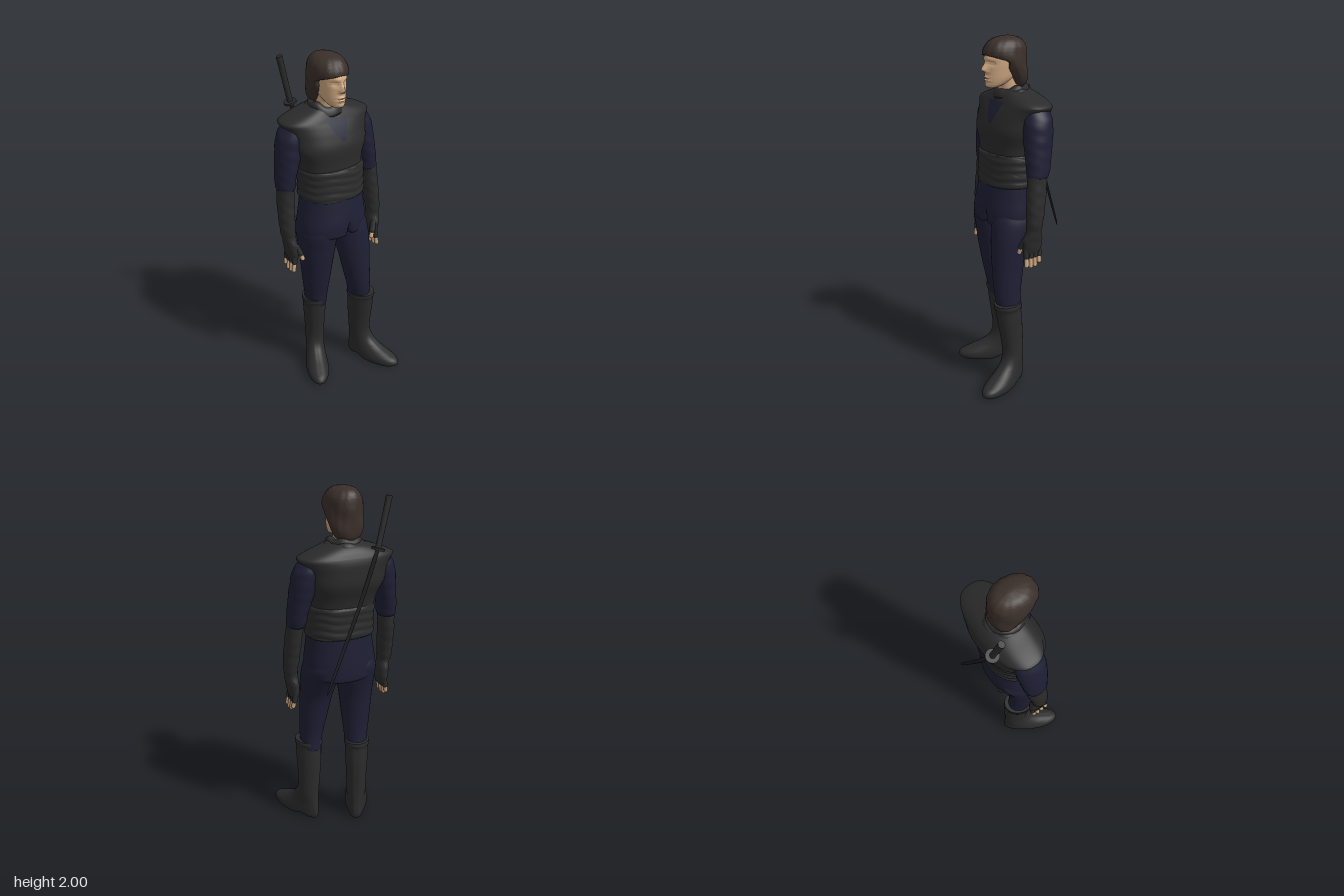
import * as THREE from 'three';
import { mergeVertices, toCreasedNormals } from 'three/addons/utils/BufferGeometryUtils.js';

const mat = (color) => new THREE.MeshStandardMaterial({ color, side: THREE.DoubleSide });
const BLACK = mat(0x2b2b2b), NAVY = mat(0x1f1f35), SKIN = mat(0xd0a983), HAIR = mat(0x3a2f2a), STEEL = mat(0x1c1c1e);

const gauss = (d, w) => Math.exp(-(d * d) / (w * w));
const spow = (v, e) => Math.sign(v) * Math.abs(v) ** e;
const catmull = (a, b, c, d, t) =>
  b + 0.5 * t * (c - a + t * (2 * a - 5 * b + 4 * c - d + t * (3 * (b - c) + d - a)));

// Smooth skin through horizontal rings [y, cx, cz, rx, rz], listed bottom to top.
function loft(name, material, rings, { n = 32, steps = 5, power = 2, arc, warp } = {}) {
  const pos = [], idx = [], rows = (rings.length - 1) * steps, p = new THREE.Vector3();
  const at = (i) => rings[Math.min(Math.max(i, 0), rings.length - 1)];
  for (let r = 0; r <= rows; r++) {
    const i = Math.min(Math.floor(r / steps), rings.length - 2), t = r / steps - i;
    const [y, cx, cz, rx, rz] = at(i).map((_, k) => catmull(at(i - 1)[k], at(i)[k], at(i + 1)[k], at(i + 2)[k], t));
    const span = arc ? arc(r / rows) : Math.PI * 2;
    for (let j = 0; j <= n; j++) {
      const a = (!arc && j === n ? -0.5 : j / n - 0.5) * span;
      p.set(cx + rx * spow(Math.sin(a), 2 / power), y, cz + rz * spow(Math.cos(a), 2 / power));
      if (warp) warp(p, a, cx, cz);
      pos.push(p.x, p.y, p.z);
      if (r < rows && j < n) {
        const q = r * (n + 1) + j, u = q + n + 1;
        idx.push(q, q + 1, u, q + 1, u + 1, u);
      }
    }
  }
  // end caps
  if (!arc) for (const r of [0, rows]) {
    const c = pos.length / 3, s = r * (n + 1), sum = [0, 0, 0];
    for (let j = 0; j < n; j++) for (let k = 0; k < 3; k++) sum[k] += pos[(s + j) * 3 + k] / n;
    pos.push(...sum);
    for (let j = 0; j < n; j++) r ? idx.push(c, s + j, s + j + 1) : idx.push(c, s + j + 1, s + j);
  }
  const g = new THREE.BufferGeometry();
  g.setAttribute('position', new THREE.Float32BufferAttribute(pos, 3));
  g.setIndex(idx);
  const mesh = new THREE.Mesh(toCreasedNormals(mergeVertices(g, 1e-5), 1.0), material);
  mesh.name = name;
  return mesh;
}

// Rounded rod between two points.
function rod(name, material, a, b, r) {
  const A = new THREE.Vector3(...a), B = new THREE.Vector3(...b), d = B.clone().sub(A);
  const mesh = new THREE.Mesh(new THREE.CapsuleGeometry(r, d.length(), 4, 10), material);
  mesh.position.copy(A).add(B).multiplyScalar(0.5);
  mesh.quaternion.setFromUnitVectors(new THREE.Vector3(0, 1, 0), d.normalize());
  mesh.name = name;
  return mesh;
}

// Scale a point about its ring centre.
const swell = (p, cx, cz, k) => { p.x = cx + (p.x - cx) * k; p.z = cz + (p.z - cz) * k; };

function makeHead() {
  const head = new THREE.Group();
  head.name = 'head';
  head.position.x = -0.02;
  head.add(loft('neck', SKIN, [[1.62, 0, -0.09, 0.06, 0.06], [1.7, 0, -0.075, 0.055, 0.058], [1.8, 0, -0.06, 0.055, 0.06]]));
  // face relief: nose, brow, eye sockets, eyelids, lips, chin
  const face = (p) => {
    if (p.z < 0) return;
    const { x, y } = p, ax = Math.abs(x), f = Math.min(1, p.z / 0.03);
    p.z += f * (0.03 * gauss(x, 0.013) * gauss(y - 0.003 - 1.825, y > 1.828 ? 0.034 : 0.011)
      + 0.008 * gauss(ax - 0.014, 0.008) * gauss(y - 1.822, 0.01)
      + 0.007 * gauss(ax - 0.026, 0.024) * gauss(y - 1.885, 0.01)
      - 0.014 * gauss(ax - 0.031, 0.015) * gauss(y - 1.862, 0.011)
      + 0.006 * gauss(ax - 0.031, 0.009) * gauss(y - 1.86, 0.005)
      + 0.01 * gauss(x, 0.024) * (gauss(y - 1.787, 0.007) + gauss(y - 1.771, 0.007))
      - 0.006 * gauss(x, 0.025) * gauss(y - 1.779, 0.003)
      + 0.006 * gauss(x, 0.02) * gauss(y - 1.747, 0.012));
  };
  head.add(loft('face', SKIN, [
    [1.728, 0, 0.035, 0.012, 0.015], [1.735, 0, 0.03, 0.032, 0.036], [1.75, 0, 0.012, 0.048, 0.058],
    [1.78, 0, -0.015, 0.063, 0.087], [1.82, 0, -0.032, 0.071, 0.105], [1.86, 0, -0.042, 0.076, 0.115],
    [1.9, 0, -0.05, 0.077, 0.121], [1.94, 0, -0.053, 0.073, 0.11], [1.975, 0, -0.055, 0.045, 0.07],
  ], { n: 80, steps: 9, warp: face }));
  // hair: strand ripples, cut back around the face below the hairline
  head.add(loft('hair', HAIR, [
    [1.725, 0, -0.13, 0.05, 0.035], [1.75, -0.002, -0.122, 0.075, 0.054], [1.79, -0.003, -0.11, 0.092, 0.07],
    [1.85, -0.004, -0.072, 0.1, 0.107], [1.9, -0.005, -0.052, 0.102, 0.129], [1.95, -0.005, -0.055, 0.092, 0.118],
    [1.985, -0.005, -0.06, 0.062, 0.083], [2.0, -0.005, -0.065, 0.015, 0.02],
  ], { n: 72, steps: 8, warp(p, a, cx, cz) {
    swell(p, cx, cz, 1 + 0.025 * Math.sin(9 * a + 14 * p.y) * Math.sin(5 * a - 30 * p.y));
    const k = THREE.MathUtils.smoothstep(p.y, 1.865, 1.915);
    p.z = Math.min(p.z, THREE.MathUtils.lerp(-0.025 - 0.4 * Math.max(0, 1.84 - p.y), 0.09, k));
  } }));
  return head;
}

function makeTorso() {
  const torso = new THREE.Group();
  torso.name = 'torso';
  // shirt skirt with a front slit and a lower back hem
  torso.add(loft('shirtSkirt', NAVY, [
    [0.975, -0.01, -0.05, 0.2, 0.155], [0.99, -0.01, -0.05, 0.207, 0.162], [1.05, -0.008, -0.05, 0.206, 0.163],
    [1.13, -0.004, -0.054, 0.194, 0.155], [1.23, 0, -0.06, 0.183, 0.145],
  ], { n: 64, power: 2.2, warp(p) {
    const low = Math.max(0, (1.12 - p.y) / 0.14);
    if (p.z > 0) p.z -= 0.025 * low * gauss(p.x - 0.015, 0.012);
    p.y += low * (p.z < -0.05 ? 0.22 * (p.z + 0.05) : 0.02 * gauss(p.x - 0.015, 0.015));
  } }));
  // wrapped sash with slanting folds
  torso.add(loft('sash', BLACK, [
    [1.195, 0, -0.062, 0.183, 0.147], [1.205, 0, -0.062, 0.19, 0.152], [1.28, 0, -0.064, 0.189, 0.15],
    [1.365, -0.002, -0.068, 0.19, 0.15], [1.378, -0.002, -0.068, 0.183, 0.14],
  ], { n: 56, steps: 9, power: 2.3, warp: (p, a, cx, cz) =>
    swell(p, cx, cz, 1 + 0.035 * Math.abs(Math.sin((p.y - 1.195) * 70 + 0.7 * Math.sin(2 * a) + 0.4 * Math.sin(5 * a)))) }));
  torso.add(loft('vest', BLACK, [
    [1.35, -0.005, -0.07, 0.183, 0.14], [1.42, -0.008, -0.076, 0.193, 0.147], [1.5, -0.012, -0.088, 0.226, 0.162],
    [1.57, -0.012, -0.1, 0.236, 0.152], [1.615, -0.012, -0.109, 0.255, 0.141], [1.643, -0.012, -0.113, 0.272, 0.13],
    [1.66, -0.012, -0.113, 0.25, 0.122], [1.68, -0.012, -0.112, 0.2, 0.111], [1.7, -0.012, -0.108, 0.14, 0.097],
    [1.715, -0.012, -0.1, 0.1, 0.08],
  ], { n: 56, power: 2.5 }));
  torso.add(loft('shirtNeckline', NAVY, [
    [1.54, 0.002, -0.094, 0.236, 0.161], [1.57, -0.002, -0.1, 0.24, 0.156], [1.615, -0.008, -0.109, 0.258, 0.145],
    [1.66, -0.012, -0.113, 0.255, 0.126],
  ], { n: 10, power: 2.5, arc: (t) => 0.02 + 0.36 * t }));
  // cowl: two soft rolls that dip at the front
  [[0.088, 0.03, 1.69, 0.05], [0.075, 0.024, 1.715, 0.025]].forEach(([r, tube, y, dip], i) => {
    const g = new THREE.TorusGeometry(r, tube, 12, 40).rotateX(Math.PI / 2), q = g.attributes.position;
    for (let k = 0; k < q.count; k++) {
      const z = q.getZ(k), a = Math.atan2(q.getX(k), z);
      q.setY(k, q.getY(k) - dip * Math.max(0, z / r) ** 2 + 0.006 * Math.sin(5 * a + i));
    }
    g.computeVertexNormals();
    const roll = new THREE.Mesh(g, BLACK);
    roll.name = i ? 'collarUpper' : 'collarLower';
    roll.position.set(-0.015, y, -0.088);
    torso.add(roll);
  });
  return torso;
}

function makeArm(s) {
  const arm = new THREE.Group(), right = s < 0;
  arm.name = right ? 'rightArm' : 'leftArm';
  // the right arm hangs slightly wider and further back
  const dx = (y) => (right ? -0.018 * Math.min(1, Math.max(0, (y - 0.95) / 0.4)) : 0);
  const dz = (y) => (right ? -0.03 * Math.min(1, Math.max(0, (1.6 - y) / 0.4)) : 0);
  const place = (rings) => rings.map(([y, x, z, rx, rz]) => [y, s * x + dx(y), z + dz(y), rx, rz]);
  const folds = (amount) => (p, a, cx, cz) =>
    swell(p, cx, cz, 1 + amount * Math.sin(p.y * 85 + 1.5 * Math.sin(a) + s) * Math.sin(2 * a + p.y * 12));
  arm.add(loft('sleeve', NAVY, place([
    [1.27, 0.263, -0.073, 0.043, 0.055], [1.285, 0.262, -0.074, 0.052, 0.066], [1.34, 0.257, -0.08, 0.055, 0.073],
    [1.42, 0.242, -0.088, 0.063, 0.081], [1.5, 0.226, -0.098, 0.072, 0.086], [1.58, 0.208, -0.106, 0.074, 0.084],
    [1.64, 0.185, -0.11, 0.055, 0.065],
  ]), { warp: folds(0.02) }));
  arm.add(loft('glove', BLACK, place([
    [0.835, 0.272, -0.035, 0.018, 0.05], [0.87, 0.273, -0.035, 0.028, 0.06], [0.93, 0.277, -0.035, 0.035, 0.06],
    [0.98, 0.284, -0.036, 0.036, 0.046], [1.02, 0.286, -0.04, 0.041, 0.049], [1.1, 0.281, -0.048, 0.045, 0.054],
    [1.2, 0.273, -0.06, 0.046, 0.058], [1.32, 0.262, -0.07, 0.045, 0.058],
  ]), { steps: 7, warp: folds(0.03) }));
  // fingers: covered base, bare tip
  const z0 = dz(0.8);
  [0.008, -0.021, -0.05, -0.078].forEach((z, i) => {
    const tip = 0.775 + [0.008, 0, 0.002, 0.02][i], x = s * 0.275;
    arm.add(rod('fingerGlove', BLACK, [x, 0.865, z + z0], [x + s * 0.006, 0.83, z + z0], 0.016));
    arm.add(rod('fingertip', SKIN, [x + s * 0.006, 0.83, z + z0], [x + s * 0.014, tip, z + z0 + 0.004], 0.0125));
  });
  arm.add(rod('thumbGlove', BLACK, [s * 0.265, 0.93, 0.005 + z0], [s * 0.247, 0.885, 0.018 + z0], 0.018));
  arm.add(rod('thumbTip', SKIN, [s * 0.247, 0.88, 0.018 + z0], [s * 0.236, 0.85, 0.025 + z0], 0.013));
  return arm;
}

function makeBoot(name, x, z, yaw, lean) {
  const boot = loft(name, BLACK, [
    [0, 0, 0.1, 0.06, 0.17], [0.02, 0, 0.107, 0.068, 0.183], [0.045, 0, 0.1, 0.068, 0.177],
    [0.07, 0, 0.074, 0.064, 0.149], [0.1, 0, 0.042, 0.059, 0.114], [0.14, 0, 0.015, 0.057, 0.084],
    [0.2, 0, 0.002, 0.059, 0.07], [0.3, 0, 0, 0.062, 0.075], [0.4, 0, 0.003, 0.068, 0.081],
    [0.47, 0, 0.006, 0.07, 0.083], [0.485, 0, 0.006, 0.076, 0.089], [0.508, 0, 0.006, 0.074, 0.087],
  ], { n: 44, warp(p) {
    const foot = Math.max(0, 1 - p.y / 0.15);
    p.x *= 1 + foot * 0.7 * (p.z - 0.1); // narrow heel, broad toe
    // arch in front of the heel
    p.y += 0.018 * gauss(p.z - 0.02, 0.035) * Math.max(0, 1 - p.y / 0.03);
    p.x += lean * Math.max(0, p.y - 0.15);
    p.z += 0.05 * Math.max(0, p.y - 0.2);
  } });
  boot.position.set(x, 0, z);
  boot.rotation.y = yaw;
  return boot;
}

function makeSword() {
  const sword = new THREE.Group();
  sword.name = 'sword';
  sword.add(loft('blade', STEEL, [
    [0.93, 0.175, -0.286, 0.002, 0.002], [0.98, 0.154, -0.284, 0.009, 0.004], [1.2, 0.06, -0.275, 0.012, 0.005],
    [1.45, -0.043, -0.265, 0.013, 0.006], [1.69, -0.13, -0.255, 0.013, 0.006],
  ], { n: 8 }));
  sword.add(loft('handle', BLACK, [
    [1.69, -0.13, -0.255, 0.016, 0.014], [1.8, -0.158, -0.25, 0.016, 0.014], [1.92, -0.188, -0.244, 0.017, 0.015],
    [1.962, -0.198, -0.242, 0.018, 0.016],
  ], { n: 16, warp: (p, a, cx) => { p.y += 0.25 * (p.x - cx); } }));
  const guard = new THREE.Mesh(new THREE.CylinderGeometry(0.036, 0.036, 0.012, 24), BLACK);
  guard.name = 'guard';
  guard.position.set(-0.132, 1.693, -0.255);
  guard.rotation.z = 0.28;
  sword.add(guard);
  return sword;
}

export function createModel() {
  const model = new THREE.Group();
  model.name = 'swordsman';
  model.add(makeHead(), makeTorso(), makeArm(1), makeArm(-1), makeSword());
  model.add(loft('leftTrouser', NAVY, [
    [0.46, 0.145, 0.025, 0.06, 0.076], [0.55, 0.136, 0.033, 0.066, 0.08], [0.65, 0.125, 0.028, 0.078, 0.088],
    [0.8, 0.111, 0.013, 0.094, 0.101], [0.9, 0.104, -0.012, 0.105, 0.122], [1.0, 0.095, -0.045, 0.108, 0.143],
    [1.08, 0.09, -0.05, 0.08, 0.12],
  ]));
  model.add(loft('rightTrouser', NAVY, [
    [0.46, -0.105, -0.078, 0.06, 0.074], [0.55, -0.11, -0.065, 0.07, 0.075], [0.65, -0.113, -0.055, 0.082, 0.086],
    [0.8, -0.113, -0.047, 0.096, 0.107], [0.9, -0.109, -0.05, 0.107, 0.126], [1.0, -0.108, -0.055, 0.11, 0.145],
    [1.08, -0.1, -0.055, 0.08, 0.12],
  ]));
  model.add(makeBoot('leftBoot', 0.168, 0.012, 0.36, -0.08));
  model.add(makeBoot('rightBoot', -0.1, -0.103, -0.47, 0.0));
  return model;
}
